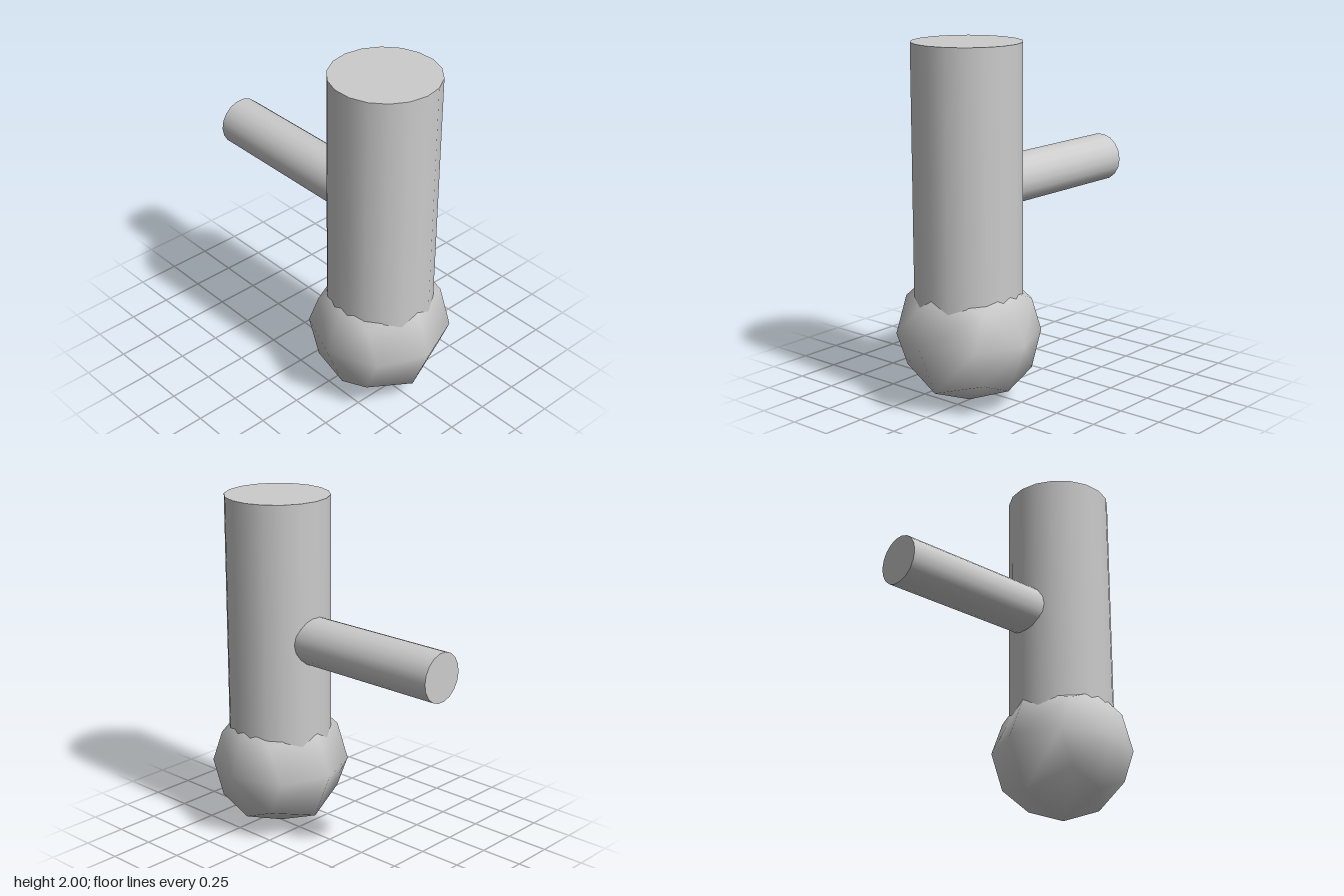
import * as THREE from 'three';

const SIDES = 18;

export function createModel() {
  const model = new THREE.Group();
  const material = new THREE.MeshStandardMaterial({ color: 0xcccccc });

  const addPart = (name, geometry, x, y, z) => {
    const mesh = new THREE.Mesh(geometry, material);
    mesh.name = name;
    mesh.position.set(x, y, z);
    model.add(mesh);
  };

  // Coarse ball at the foot, its poles facing front and back
  const ball = new THREE.SphereGeometry(0.4, 8, 4).rotateX(Math.PI / 2);
  addPart('ballFoot', ball, 0.4, 0.4, 0);

  // Upright column rising from the middle of the ball
  const column = new THREE.CylinderGeometry(0.3, 0.3, 1.6, SIDES).rotateY(Math.PI / 2);
  addPart('column', column, 0.4, 1.2, 0);

  // Side arm running from the column's axis out to the right
  const arm = new THREE.CylinderGeometry(0.14, 0.14, 1.2, SIDES).rotateZ(Math.PI / 2);
  addPart('sideArm', arm, -0.2, 1.2, 0);

  return model;
}
